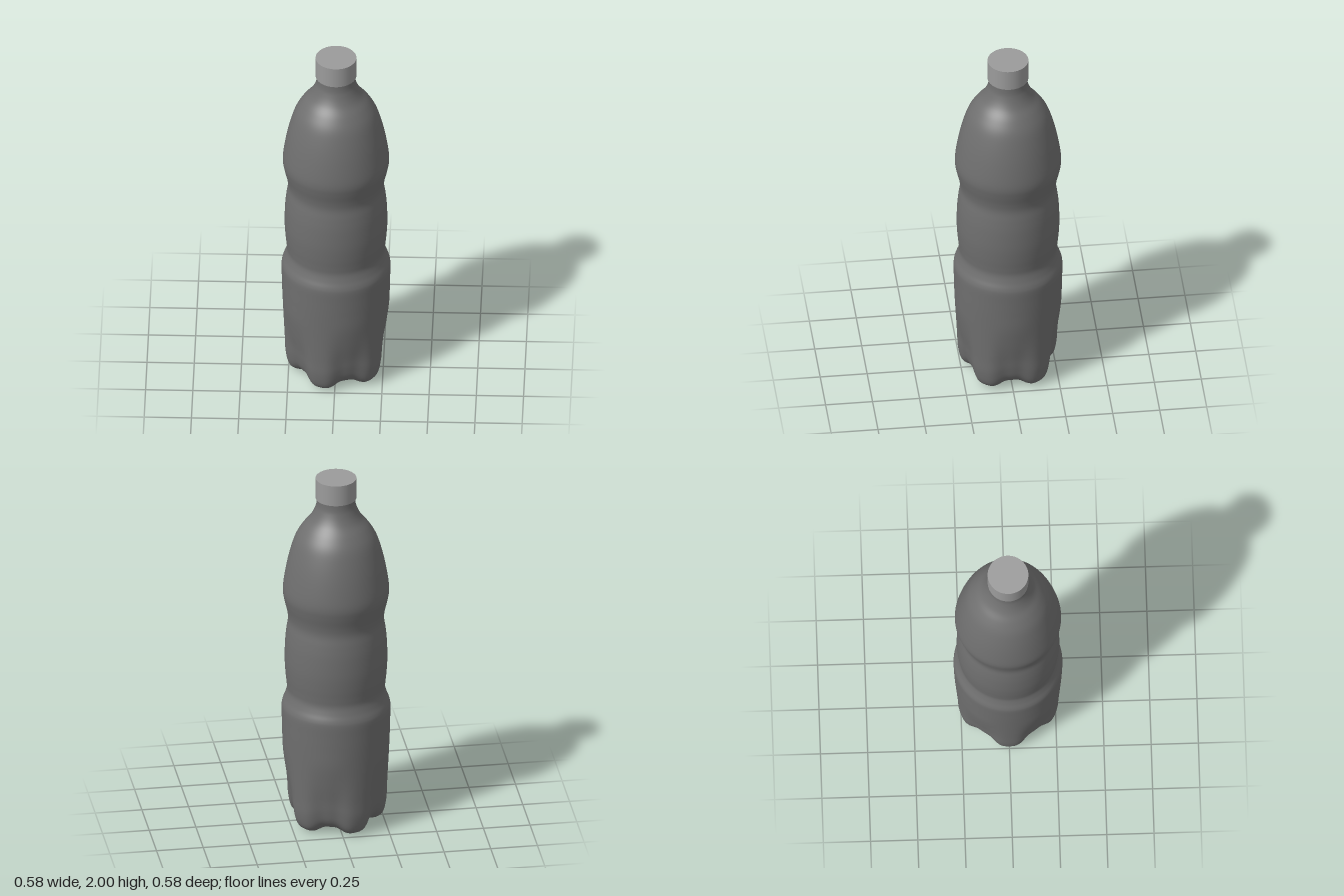
import * as THREE from 'three';
import { mergeVertices } from 'three/addons/utils/BufferGeometryUtils.js';

const FEET = 5;
const material = (color) => new THREE.MeshStandardMaterial({ color });

// Base outlines [radius, y]: through a foot and through the groove between feet
const footBase = [[0, 0.025], [0.06, 0.023], [0.12, 0.012], [0.17, 0.002], [0.215, 0.005], [0.25, 0.035], [0.267, 0.11], [0.271, 0.2], [0.276, 0.31]];
const grooveBase = [[0, 0.025], [0.06, 0.024], [0.12, 0.024], [0.165, 0.029], [0.2, 0.044], [0.226, 0.082], [0.24, 0.14], [0.25, 0.21], [0.267, 0.31]];

// Shared outline above the feet: waist, grip, shoulder and neck
const upper = [
  [0.281, 0.42], [0.285, 0.52], [0.287, 0.6], [0.288, 0.665], [0.283, 0.695], [0.27, 0.73],
  [0.26, 0.77], [0.262, 0.81], [0.268, 0.87], [0.272, 0.95], [0.269, 1.05], [0.262, 1.12],
  [0.254, 1.18], [0.259, 1.23], [0.273, 1.29], [0.281, 1.34], [0.277, 1.4], [0.26, 1.5],
  [0.238, 1.59], [0.213, 1.662], [0.178, 1.72], [0.138, 1.77], [0.113, 1.82], [0.102, 1.87], [0.1, 1.98],
];

function outline(base) {
  const points = [...base, ...upper].map(([r, y]) => new THREE.Vector2(r, y));
  const curve = new THREE.SplineCurve(points).getPoints((points.length - 1) * 5);
  curve[0].x = 0;
  return curve;
}

// Revolve the foot outline, then blend it towards the groove outline around the axis
function createBody() {
  const foot = outline(footBase);
  const groove = outline(grooveBase);
  const segments = 120;
  const geometry = new THREE.LatheGeometry(foot, segments);
  const pos = geometry.attributes.position;
  for (let i = 0; i < pos.count; i++) {
    const j = i % foot.length;
    const angle = (Math.floor(i / foot.length) % segments) / segments * Math.PI * 2;
    // One foot points straight to -x; smoothstep rounds the feet and narrows the grooves
    const w = THREE.MathUtils.smoothstep(0.5 + 0.5 * Math.cos(FEET * (angle - Math.PI)), 0, 1);
    const r = THREE.MathUtils.lerp(groove[j].x, foot[j].x, w);
    const y = THREE.MathUtils.lerp(groove[j].y, foot[j].y, w);
    // Keep the winding of the lathe, which turns from +z towards +x
    pos.setXYZ(i, r * Math.cos(angle), y, -r * Math.sin(angle));
  }
  // Weld the seam for smooth normals
  geometry.deleteAttribute('uv');
  geometry.deleteAttribute('normal');
  const welded = mergeVertices(geometry, 1e-5);
  welded.computeVertexNormals();
  return new THREE.Mesh(welded, material(0x6f6f6f));
}

export function createModel() {
  const model = new THREE.Group();
  model.name = 'bottle';

  const body = createBody();
  body.name = 'body';
  model.add(body);

  // Screw cap
  const cap = new THREE.Mesh(new THREE.CylinderGeometry(0.108, 0.108, 0.116, 48), material(0x9b9b9b));
  cap.name = 'cap';
  cap.position.y = 1.942;
  model.add(cap);

  return model;
}
